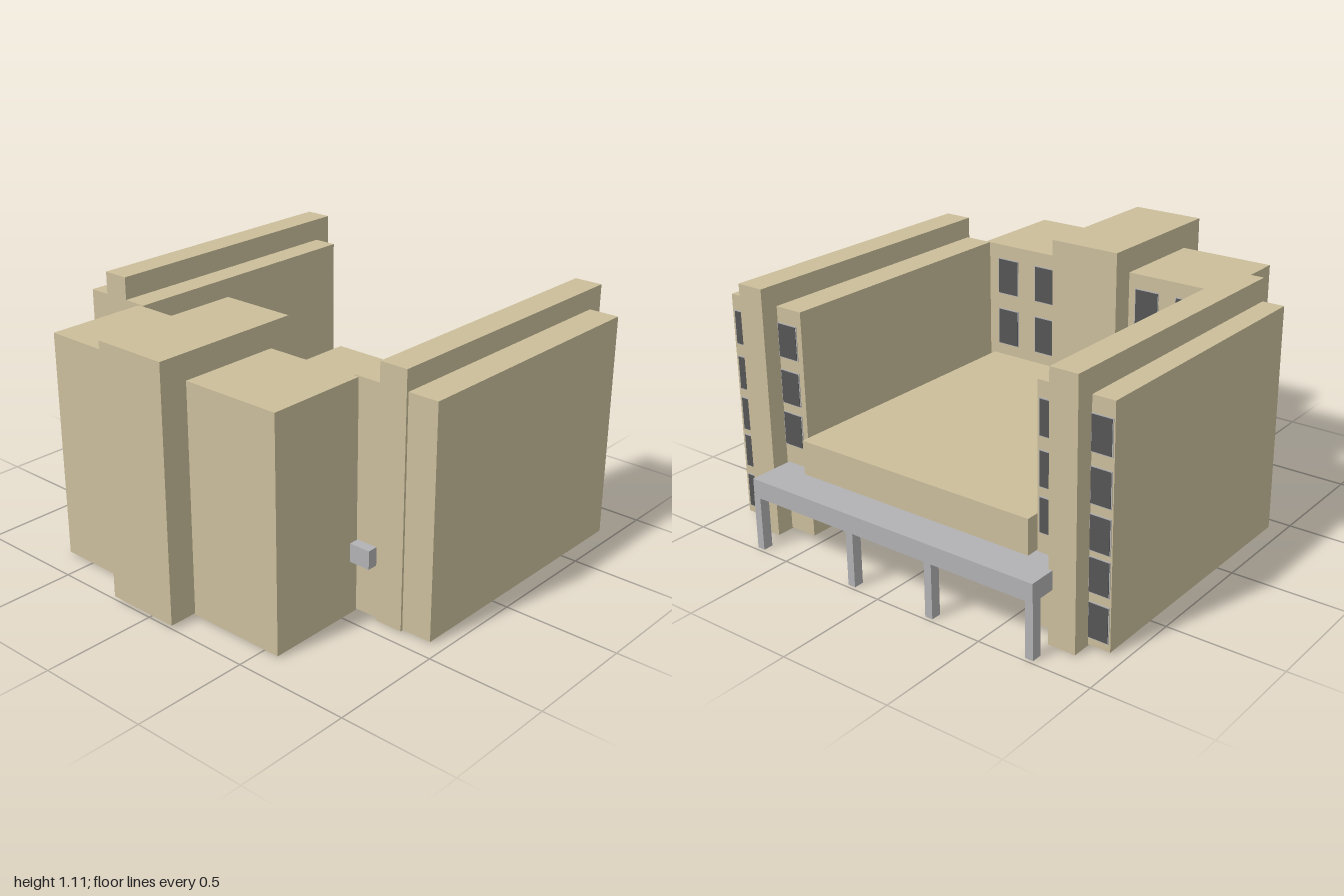
import * as THREE from 'three';

const wall = new THREE.MeshStandardMaterial({ color: 0xcbbe9b });
const concrete = new THREE.MeshStandardMaterial({ color: 0xb2b2b4 });
const glass = new THREE.MeshStandardMaterial({ color: 0x555555 });

// Box given by its extents along each axis
function block(parent, name, material, [x0, x1], [y0, y1], [z0, z1]) {
  const mesh = new THREE.Mesh(new THREE.BoxGeometry(x1 - x0, y1 - y0, z1 - z0), material);
  mesh.position.set((x0 + x1) / 2, (y0 + y1) / 2, (z0 + z1) / 2);
  mesh.name = name;
  parent.add(mesh);
}

// Window facing +x: thin frame with a pane just proud of it
function addWindow(parent, x, [y0, y1], [z0, z1]) {
  const f = 0.004;
  block(parent, 'windowFrame', concrete, [x - 0.004, x + 0.003], [y0 - f, y1 + f], [z0 - f, z1 + f]);
  block(parent, 'windowPane', glass, [x - 0.004, x + 0.005], [y0, y1], [z0, z1]);
}

function group(parent, name) {
  const g = new THREE.Group();
  g.name = name;
  parent.add(g);
  return g;
}

export function createModel() {
  const model = new THREE.Group();
  model.name = 'building';

  // Side wings, each with a taller fin wall through the middle
  const rows = [[0.79, 0.93], [0.59, 0.73], [0.405, 0.545], [0.235, 0.375], [0.045, 0.19]];
  const wings = [
    { name: 'leftWing', z: [0.55, 0.94], fin: [0.68, 0.805], x: [-0.43, 0.865], top: 1.09,
      outer: [0.825, 0.925], inner: [0.58, 0.675] },
    { name: 'rightWing', z: [-0.94, -0.612], fin: [-0.843, -0.722], x: [-0.42, 0.87], top: 1.1,
      outer: [-0.93, -0.845], inner: [-0.715, -0.625] },
  ];
  for (const w of wings) {
    const g = group(model, w.name);
    block(g, 'wingBody', wall, [-0.42, 0.787], [0.01, 1], w.z);
    block(g, 'finWall', wall, w.x, [0.005, w.top], w.fin);
    rows.forEach((y, i) => {
      addWindow(g, 0.787, y, w.outer);
      if (i < 3) addWindow(g, 0.787, y, w.inner);
    });
  }

  // Rear block and its tower
  const rear = group(model, 'rearBuilding');
  block(rear, 'rearBlock', wall, [-0.875, -0.425], [0.008, 0.998], [-0.635, 0.575]);
  block(rear, 'rearTower', wall, [-1, -0.325], [0.015, 1.107], [-0.203, 0.13]);
  for (const z of [[0.395, 0.5], [0.19, 0.295], [-0.35, -0.24], [-0.55, -0.44]])
    for (const y of [[0.77, 0.93], [0.525, 0.69]]) addWindow(rear, -0.425, y, z);

  // Low entrance hall above the canopy, glass front beneath it
  const entrance = group(model, 'entrance');
  block(entrance, 'entranceHall', wall, [-0.424, 0.835], [0.25, 0.47], [-0.606, 0.532]);
  block(entrance, 'glassFront', glass, [0.34, 0.35], [0.01, 0.245], [-0.609, 0.533]);

  // Canopy slab on four columns
  block(entrance, 'canopy', concrete, [-0.465, 0.99], [0.24, 0.32], [-0.74, 0.67]);
  for (const z of [0.66, 0.15, -0.248, -0.722])
    block(entrance, 'column', concrete, [0.94, 0.985], [0, 0.245], [z - 0.0175, z + 0.0175]);

  return model;
}
